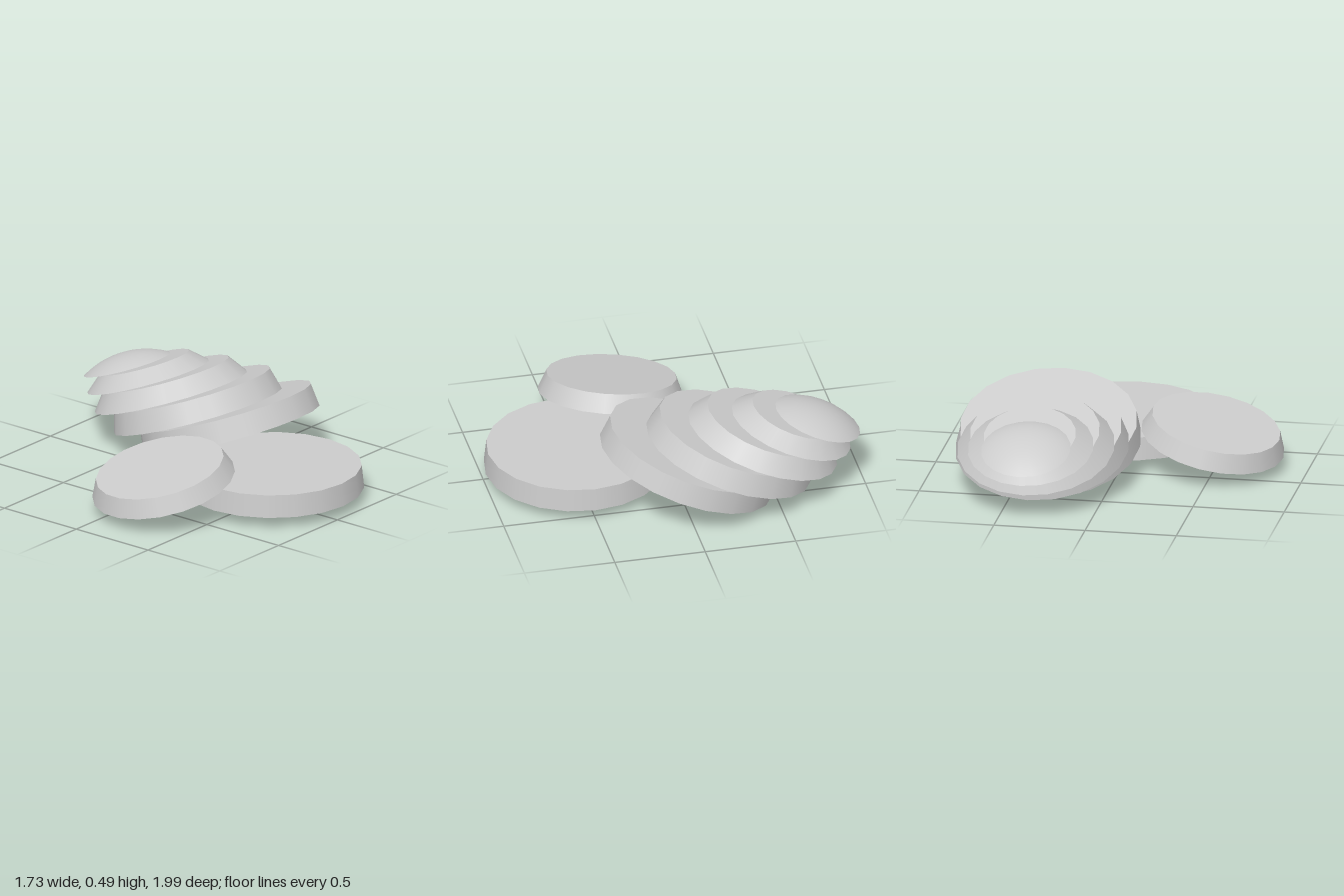
import * as THREE from 'three';

const SIDES = 20;
const material = new THREE.MeshStandardMaterial({ color: 0xcccccc });

// Tapered slice whose origin is the centre of its underside
function slice(name, bottomRadius, topRadius, height) {
  const geometry = new THREE.CylinderGeometry(topRadius, bottomRadius, height, SIDES);
  geometry.translate(0, height / 2, 0);
  const mesh = new THREE.Mesh(geometry, material);
  mesh.name = name;
  return mesh;
}

// Shallow dome with a flat underside
function domeCap(name, radius, height) {
  const group = new THREE.Group();
  group.name = name;
  const R = (radius * radius + height * height) / (2 * height);
  const dome = new THREE.SphereGeometry(R, SIDES, 6, 0, Math.PI * 2, 0, Math.asin(radius / R));
  dome.translate(0, height - R, 0);
  const domeMesh = new THREE.Mesh(dome, material);
  domeMesh.name = 'domeSurface';
  const base = new THREE.CircleGeometry(radius, SIDES).rotateX(Math.PI / 2);
  const baseMesh = new THREE.Mesh(base, material);
  baseMesh.name = 'domeUnderside';
  group.add(domeMesh, baseMesh);
  return group;
}

export function createModel() {
  const model = new THREE.Group();
  model.name = 'slicedRoundStack';

  // Flat slice lying in front
  const flat = slice('flatSlice', 0.495, 0.482, 0.125);
  flat.position.set(0.055, 0.065, 0.503);
  model.add(flat);

  // Smaller slice leaning at the side
  const leaning = slice('leaningSlice', 0.394, 0.353, 0.1);
  leaning.position.set(-0.484, 0.157, 0.186);
  leaning.quaternion.setFromUnitVectors(
    new THREE.Vector3(0, 1, 0),
    new THREE.Vector3(-0.22, 1, -0.105).normalize()
  );
  model.add(leaning);

  // Slumped stack: tilted backward, each slice slid further down
  const stack = new THREE.Group();
  stack.name = 'slumpedStack';
  stack.position.x = 0.367;
  stack.rotation.x = -THREE.MathUtils.degToRad(20);
  const layers = [
    // bottom radius, top radius, height, slide
    [0.494, 0.480, 0.125, 0.023],
    [0.471, 0.438, 0.122, -0.181],
    [0.427, 0.352, 0.101, -0.337],
    [0.341, 0.250, 0.080, -0.469],
  ];
  let y = 0.174;
  layers.forEach(([bottom, top, height, slide], i) => {
    const layer = slice(`stackSlice${i + 1}`, bottom, top, height);
    layer.position.set(0, y, slide);
    stack.add(layer);
    y += height;
  });
  const cap = domeCap('stackCap', 0.243, 0.067);
  cap.position.set(0, y + 0.003, -0.595);
  stack.add(cap);
  model.add(stack);

  return model;
}
